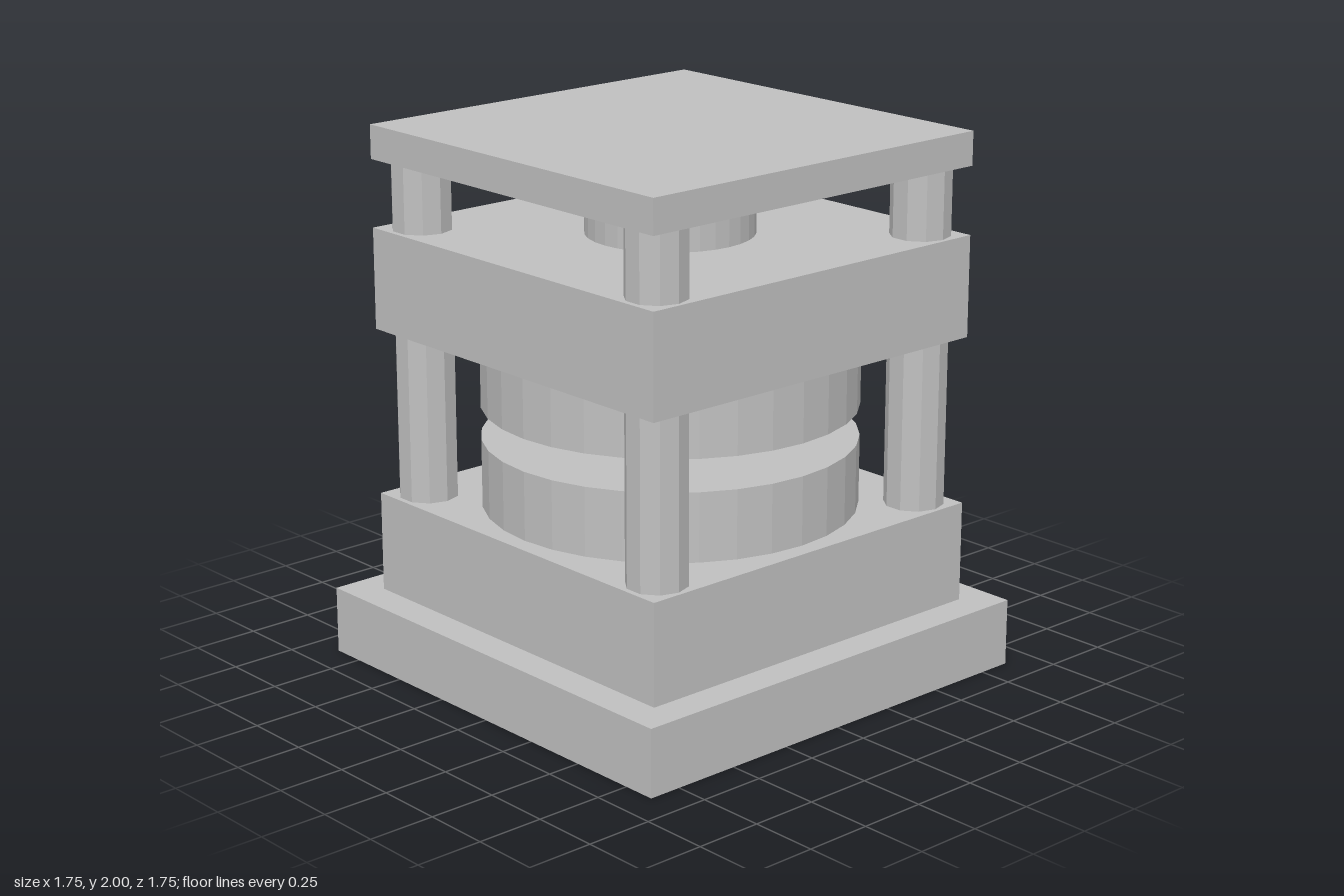
import * as THREE from 'three';

export function createModel() {
  const group = new THREE.Group();
  const grey = new THREE.MeshStandardMaterial({ color: 0xc0c0c0 });
  grey.name = 'plain grey';
  grey.flatShading = true;

  const add = (name, geometry, x, y, z) => {
    const mesh = new THREE.Mesh(geometry, grey);
    mesh.name = name;
    mesh.position.set(x, y, z);
    group.add(mesh);
    return mesh;
  };
  // Square slab between two heights
  const slab = (name, size, y0, y1) =>
    add(name, new THREE.BoxGeometry(size, y1 - y0, size), 0, (y0 + y1) / 2, 0);
  // Upright cylinder between two heights
  const drum = (name, r, sides, y0, y1, x = 0, z = 0) =>
    add(name, new THREE.CylinderGeometry(r, r, y1 - y0, sides), x, (y0 + y1) / 2, z);

  // Stacked plates
  slab('base', 1.75, 0, 0.25);
  slab('lowerBlock', 1.5, 0.25, 0.625);
  slab('movingBlock', 1.5, 1.25, 1.625);
  slab('topPlate', 1.5, 1.875, 2);

  // Press faces and piston
  drum('lowerDie', 0.685, 32, 0.625, 0.88);
  drum('upperDie', 0.685, 32, 1.0, 1.25);
  drum('piston', 0.306, 32, 1.625, 1.875);

  // Ten-sided corner pillars, in two lengths
  for (const x of [-0.625, 0.625]) {
    for (const z of [-0.625, 0.625]) {
      drum('lowerPillar', 0.11, 10, 0.625, 1.25, x, z);
      drum('upperPillar', 0.11, 10, 1.625, 1.875, x, z);
    }
  }

  // Half-hexagon pipes on the left side
  const profile = new THREE.Shape([
    [0, -0.0625], [0.054, -0.031], [0.054, 0.031], [0, 0.0625],
  ].map(([x, y]) => new THREE.Vector2(x, y)));
  const pipe = (length) =>
    new THREE.ExtrudeGeometry(profile, { depth: length, bevelEnabled: false });
  add('horizontalPipe', pipe(1), 0.75, 1.375, -0.5);
  add('verticalPipe', pipe(0.875).rotateX(-Math.PI / 2), 0.75, 0.5, -0.5);

  // Raised panels on the back
  add('upperBackPanel', new THREE.BoxGeometry(0.375, 0.25, 0.05), 0, 1.4375, -0.775);
  add('lowerBackPanel', new THREE.BoxGeometry(0.625, 0.25, 0.05), 0, 0.4375, -0.775);

  return group;
}
